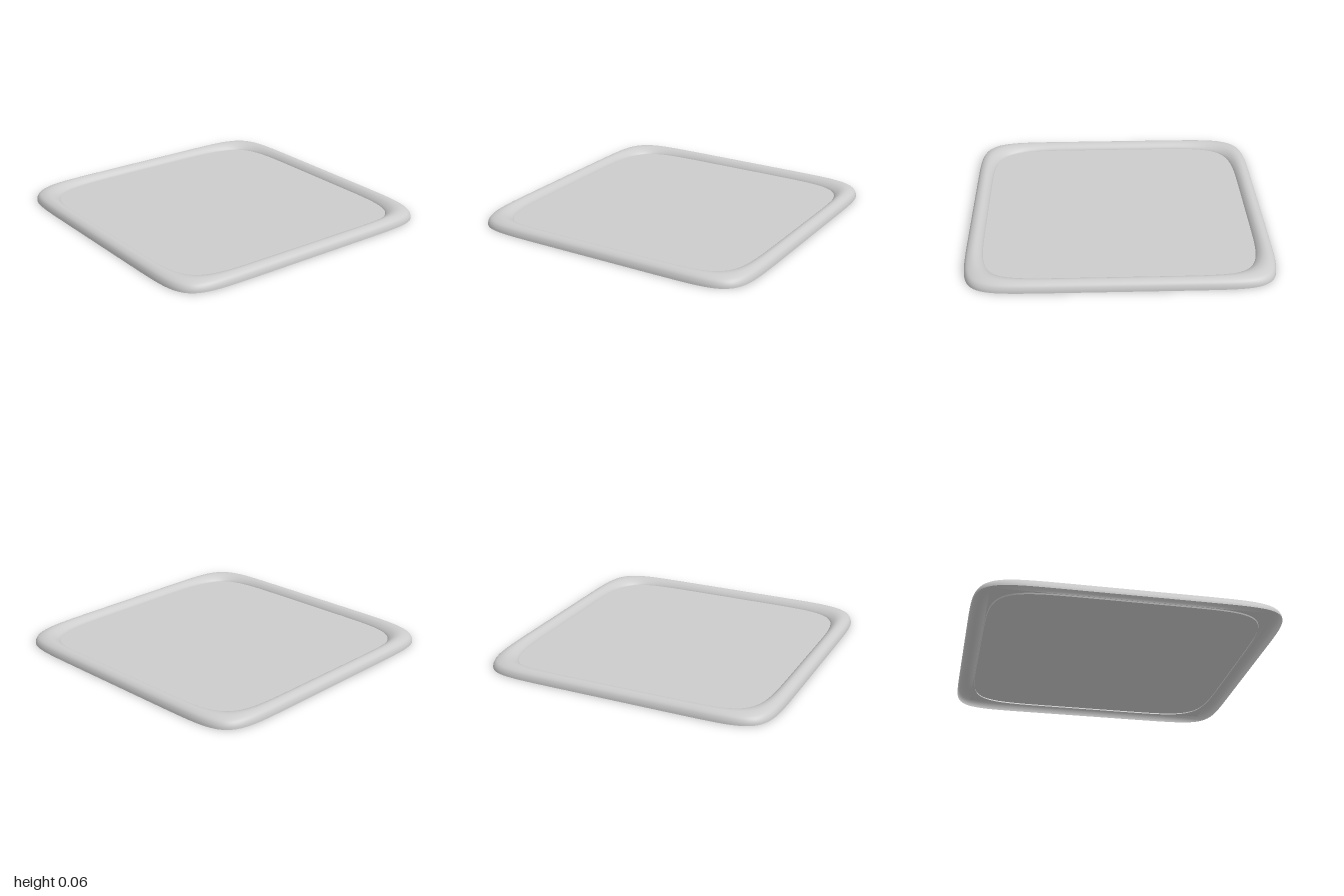
import * as THREE from 'three';

const grey = new THREE.MeshStandardMaterial({ color: 0xcccccc, side: THREE.DoubleSide });

// Half-tube rim section: distance inward from the outer edge, height
const SECTION = [[0, 0], [0.002, 0.02], [0.012, 0.043], [0.032, 0.058], [0.055, 0.064],
  [0.078, 0.058], [0.096, 0.043], [0.107, 0.027], [0.111, 0.013]];
const RIM_WIDTH = 0.111;
const AROUND = 192;
const STEPS = 24;

// Point on a rounded square; the corners get softer towards the inside
function rimPoint(angle, inset, y) {
  const n = THREE.MathUtils.lerp(9.2, 6.8, inset / RIM_WIDTH);
  const c = Math.cos(angle), s = Math.sin(angle);
  const r = (1 - inset) / Math.pow(Math.abs(c) ** n + Math.abs(s) ** n, 1 / n);
  return [c * r, y, s * r];
}

// Sweep the section around the rounded square, open underneath
function rimGeometry() {
  const curve = new THREE.SplineCurve(SECTION.map(([t, y]) => new THREE.Vector2(t, y)));
  const section = curve.getPoints(STEPS);
  const row = section.length;
  const positions = [], index = [];
  for (let i = 0; i < AROUND; i++) {
    // Ease the angle so more segments fall in the corners
    const u = (i / AROUND) * Math.PI * 2;
    const angle = u + 0.17 * Math.sin(4 * u);
    for (const p of section) positions.push(...rimPoint(angle, Math.max(p.x, 0), p.y));
    const next = (i + 1) % AROUND;
    for (let j = 0; j < row - 1; j++) {
      const a = i * row + j, b = next * row + j;
      index.push(a, a + 1, b, b, a + 1, b + 1);
    }
  }
  const geometry = new THREE.BufferGeometry();
  geometry.setAttribute('position', new THREE.Float32BufferAttribute(positions, 3));
  geometry.setIndex(index);
  geometry.computeVertexNormals();
  return geometry;
}

export function createModel() {
  const group = new THREE.Group();
  group.name = 'tray';

  const rim = new THREE.Mesh(rimGeometry(), grey);
  rim.name = 'rim';
  group.add(rim);

  // Flat square base whose corners tuck under the rim
  const base = new THREE.Mesh(new THREE.PlaneGeometry(1.786, 1.786).rotateX(-Math.PI / 2), grey);
  base.name = 'basePanel';
  base.position.y = 0.022;
  group.add(base);

  return group;
}
